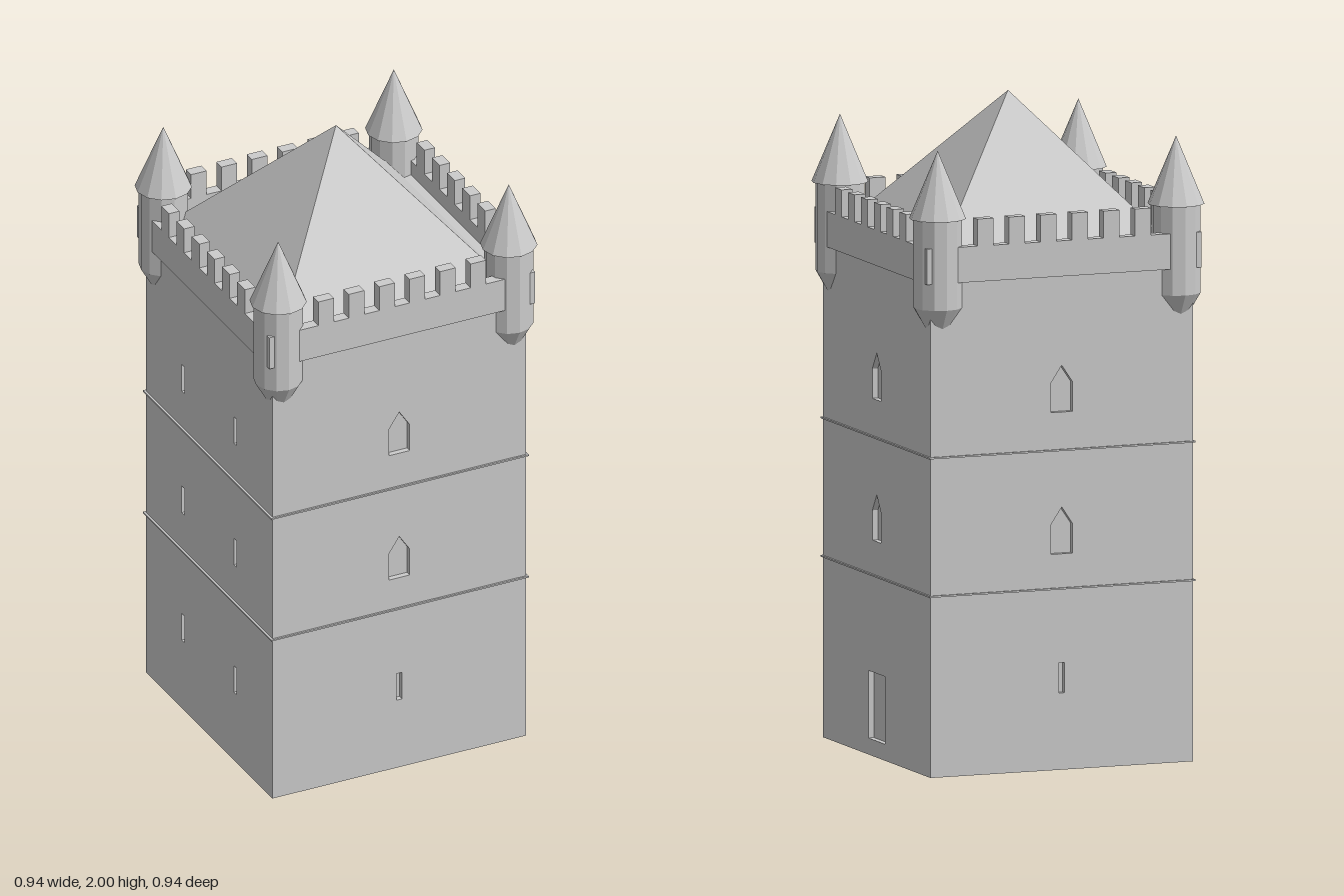
import * as THREE from 'three';

const stone = new THREE.MeshStandardMaterial({ color: 0xcccccc, flatShading: true, side: THREE.DoubleSide });

function part(geometry, name, parent, x = 0, y = 0, z = 0) {
  const mesh = new THREE.Mesh(geometry, stone);
  mesh.name = name;
  mesh.position.set(x, y, z);
  parent.add(mesh);
  return mesh;
}

const polygon = (pts) => pts.map(([x, y]) => new THREE.Vector2(x, y));
const rect = (x, y0, y1, half) => [[x - half, y0], [x + half, y0], [x + half, y1], [x - half, y1]];

// Flat panel facing +z, pierced by openings
function panel(outline, openings, depth) {
  const shape = new THREE.Shape(polygon(outline));
  openings.forEach((o) => shape.holes.push(new THREE.Path(polygon(o))));
  return new THREE.ExtrudeGeometry(shape, { depth, bevelEnabled: false });
}

// Opening outlines
const archWindow = (y) => [[-0.035, y], [0.035, y], [0.035, y + 0.09], [0, y + 0.142], [-0.035, y + 0.09]];
const slit = (x, y) => rect(x, y, y + 0.092, 0.009);

const HALF = 0.425;   // half width of the tower
const WALL = 0.018;   // depth of the reveals
const SIDES = 4;

function turret() {
  const g = new THREE.Group();
  g.name = 'cornerTurret';
  const r = 0.074, y0 = 1.42, y1 = 1.69, step = Math.PI / 6;

  // Twelve-sided shaft, with one facet left out for the slit panel
  part(new THREE.CylinderGeometry(r, r, y1 - y0, 11, 1, true, step * 2, step * 11),
    'turretShaft', g, 0, (y0 + y1) / 2, 0);
  const facet = new THREE.Group();
  facet.name = 'turretSlitFacet';
  facet.rotation.y = Math.PI / 4;
  const depth = 0.012, apothem = r * Math.cos(step / 2);
  part(panel(rect(0, y0, y1, r * Math.sin(step / 2)), [rect(0, 1.5, 1.605, 0.008)], depth),
    'slitPanel', facet, 0, 0, apothem - depth);
  part(new THREE.BoxGeometry(0.03, 0.13, 0.004), 'slitBack', facet, 0, 1.5525, apothem - depth - 0.002);
  g.add(facet);

  // Corbelled foot
  const foot = [[0, 1.342], [0.037, 1.356], [r, y0]];
  part(new THREE.LatheGeometry(polygon(foot), 12), 'turretFoot', g);

  // Pointed cap
  part(new THREE.ConeGeometry(0.086, 0.205, 12), 'turretCap', g, 0, y1 + 0.1025, 0);
  return g;
}

export function createModel() {
  const tower = new THREE.Group();
  tower.name = 'castleTower';

  // Four walls: front, right (door), back, left (paired slits)
  const windows = [archWindow(0.655), archWindow(1.085)];
  const paired = [0.235, 0.675, 1.095].flatMap((y) => [slit(-0.175, y), slit(0.175, y)]);
  const openings = [
    [slit(0, 0.233), ...windows],
    [rect(0, 0.05, 0.255, 0.067), ...windows],
    [slit(0, 0.233), ...windows],
    paired,
  ];
  const names = ['frontWall', 'doorWall', 'backWall', 'slitWall'];
  for (let i = 0; i < SIDES; i++) {
    const side = new THREE.Group();
    side.name = names[i] + 'Side';
    side.rotation.y = i * Math.PI / 2;
    part(panel(rect(0, 0, 1.5, HALF), openings[i], WALL), names[i], side, 0, 0, HALF - WALL);

    // Battlements along this side
    for (let k = -2.5; k <= 2.5; k++) {
      part(new THREE.BoxGeometry(0.052, 0.085, 0.035), 'merlon', side, k * 0.102, 1.6475, 0.4275);
    }
    tower.add(side);
  }

  // Core behind the openings, raised to leave a hollow foot
  const inner = 2 * (HALF - WALL);
  part(new THREE.BoxGeometry(inner, 1.455, inner), 'core', tower, 0, 0.7725, 0);

  // Thin floor edges showing outside
  for (const y of [0.55, 0.97]) {
    part(new THREE.BoxGeometry(0.862, 0.005, 0.862), 'floorEdge', tower, 0, y, 0);
  }

  // Parapet ring and walkway
  const ring = panel(rect(0, -0.445, 0.445, 0.445), [rect(0, -0.41, 0.41, 0.41)], 0.108);
  ring.rotateX(-Math.PI / 2);
  part(ring, 'parapet', tower, 0, 1.5, 0);
  part(new THREE.BoxGeometry(0.83, 0.06, 0.83), 'walkway', tower, 0, 1.53, 0);

  // Pyramid roof
  const roof = new THREE.ConeGeometry(0.383 * Math.SQRT2, 0.44, 4);
  roof.rotateY(Math.PI / 4);
  part(roof, 'roof', tower, 0, 1.78, 0);

  // Corner turrets, each slit facing outward
  for (let i = 0; i < SIDES; i++) {
    const corner = new THREE.Group();
    corner.name = 'corner';
    corner.rotation.y = i * Math.PI / 2;
    const t = turret();
    t.position.set(0.386, 0, 0.386);
    corner.add(t);
    tower.add(corner);
  }
  return tower;
}
